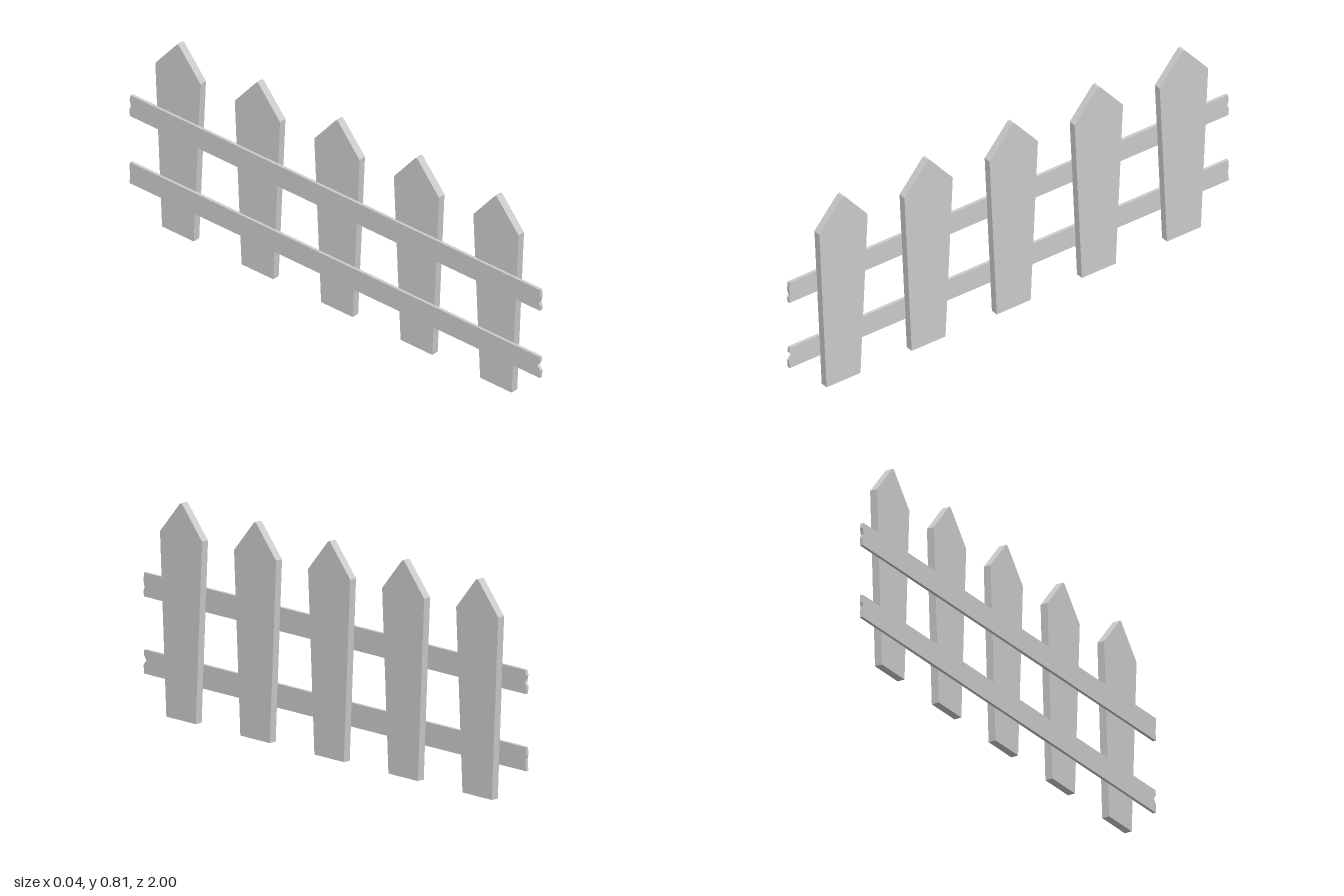
import * as THREE from 'three';

const material = new THREE.MeshStandardMaterial({ color: 0xcccccc, flatShading: true });

// Flat board from a (z, y) outline, with its thickness running along x
function board(name, outline, x, thickness) {
  const shape = new THREE.Shape(outline.map(([z, y]) => new THREE.Vector2(-z, y)));
  const geometry = new THREE.ExtrudeGeometry(shape, { depth: thickness, bevelEnabled: false });
  geometry.rotateY(Math.PI / 2);
  const mesh = new THREE.Mesh(geometry, material);
  mesh.name = name;
  mesh.position.x = x;
  return mesh;
}

export function createModel() {
  const fence = new THREE.Group();
  fence.name = 'picketFence';

  // Five pickets, widening towards the shoulders and ending in a point
  const picket = [[-0.077, 0], [0.077, 0], [0.11, 0.692], [0.005, 0.815], [-0.005, 0.815], [-0.11, 0.692]];
  for (let i = -2; i <= 2; i++) {
    const mesh = board('picket' + (i + 3), picket, -0.01, 0.03);
    mesh.position.z = i * 0.387;
    fence.add(mesh);
  }

  // Two rails behind the pickets, with roughly broken ends
  const lowerRail = [
    [-1, 0.13], [0.997, 0.13], [1, 0.162], [0.985, 0.182], [0.998, 0.2], [0.996, 0.22],
    [-0.998, 0.22], [-1, 0.19], [-0.996, 0.175],
  ];
  const upperRail = [
    [-0.998, 0.42], [0.998, 0.42], [1, 0.44], [0.994, 0.455], [1, 0.475], [0.998, 0.51],
    [-0.995, 0.51], [-1, 0.49], [-0.993, 0.465], [-1, 0.45],
  ];
  fence.add(board('lowerRail', lowerRail, -0.021, 0.012));
  fence.add(board('upperRail', upperRail, -0.021, 0.012));

  return fence;
}
